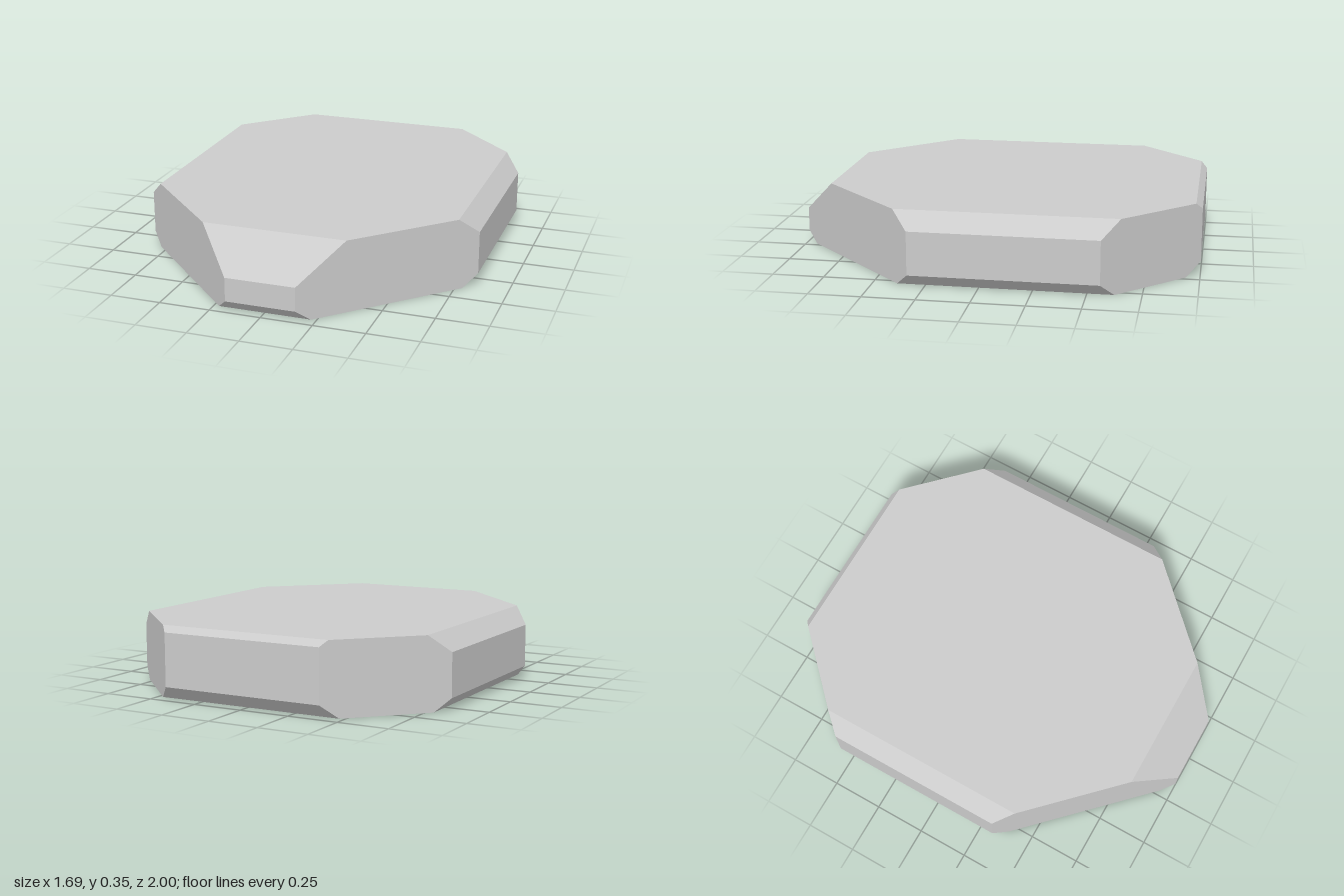
import * as THREE from 'three';
import { ConvexGeometry } from 'three/addons/geometries/ConvexGeometry.js';

const TOP = 0.352;
const FRONT_CUT = 1.17; // front corner planes: |x| + z
const BACK_CUT = 1.41;  // back corner planes: |x| - z

// Edge profiles as [outward distance, height], from the base up to the top
const frontProfile = [[0.945, 0], [1, 0.055], [1, 0.172], [0.82, TOP]];
const sideProfile = [[0.785, 0], [0.845, 0.06], [0.845, 0.27], [0.763, TOP]];
const backProfile = [[0.935, 0], [1, 0.065], [1, 0.322], [0.97, TOP]];

export function createModel() {
  const group = new THREE.Group();
  group.name = 'bevelledSlab';

  // Each profile ends where it meets the vertical corner planes
  const points = [];
  for (const s of [-1, 1]) {
    for (const [z, y] of frontProfile) points.push(new THREE.Vector3(s * (FRONT_CUT - z), y, z));
    for (const [x, y] of sideProfile) {
      points.push(new THREE.Vector3(s * x, y, FRONT_CUT - x));
      points.push(new THREE.Vector3(s * x, y, x - BACK_CUT));
    }
    for (const [z, y] of backProfile) points.push(new THREE.Vector3(s * (BACK_CUT - z), y, -z));
  }

  // Solid eight-sided slab with flat facets
  const slab = new THREE.Mesh(
    new ConvexGeometry(points),
    new THREE.MeshStandardMaterial({ color: 0xcccccc, flatShading: true })
  );
  slab.name = 'slab';
  group.add(slab);
  return group;
}
